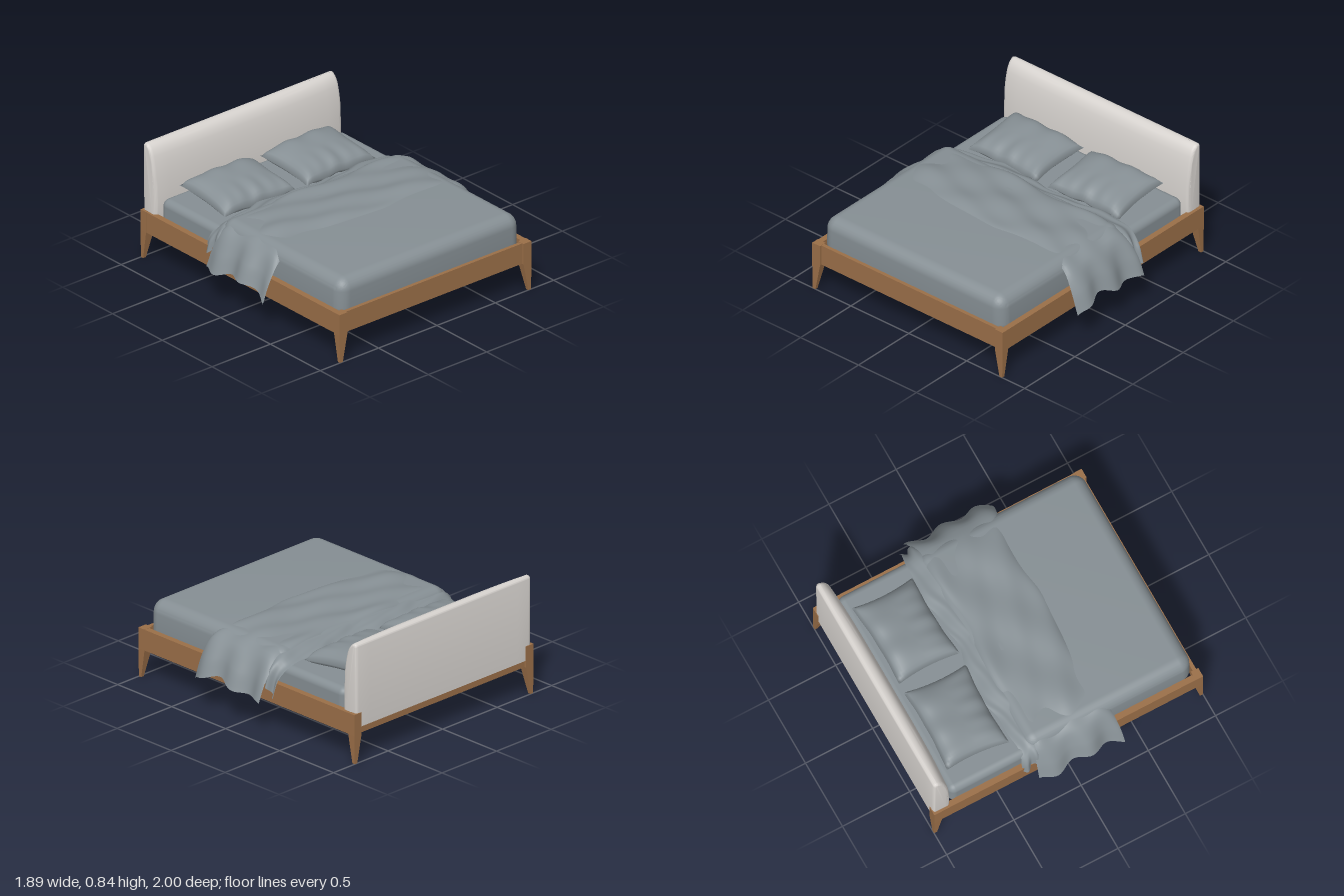
import * as THREE from 'three';
import { toCreasedNormals } from 'three/addons/utils/BufferGeometryUtils.js';
import { RoundedBoxGeometry } from 'three/addons/geometries/RoundedBoxGeometry.js';
import { ParametricGeometry } from 'three/addons/geometries/ParametricGeometry.js';

const wood = new THREE.MeshStandardMaterial({ color: 0x9b6f48 });
wood.name = 'warm wood';
const linen = new THREE.MeshStandardMaterial({ color: 0x868f94, side: THREE.DoubleSide });
linen.name = 'grey linen';
const upholstery = new THREE.MeshStandardMaterial({ color: 0xd6d2ce });
upholstery.name = 'pale upholstery';

const CX = -0.012; // centre line of the frame

function add(parent, name, geometry, material, x = 0, y = 0, z = 0) {
  const mesh = new THREE.Mesh(geometry, material);
  mesh.name = name;
  mesh.position.set(x, y, z);
  parent.add(mesh);
  return mesh;
}

// Move every vertex by a rule
function reshape(geometry, rule) {
  const p = geometry.attributes.position;
  const v = new THREE.Vector3();
  for (let i = 0; i < p.count; i++) {
    v.fromBufferAttribute(p, i);
    rule(v);
    p.setXYZ(i, v.x, v.y, v.z);
  }
  geometry.computeVertexNormals();
  return geometry;
}

// Square post whose lower part tapers towards the outer corner
function legGeometry(sx, sz) {
  const w = 0.068, d = 0.056;
  const box = new THREE.BoxGeometry(w, 0.35, d, 1, 2, 1).toNonIndexed();
  return reshape(box, (v) => {
    if (v.y < -0.1) {
      if (v.x * sx < 0) v.x = sx * (w / 2 - 0.028);
      else v.x -= sx * 0.004;
      if (v.z * sz < 0) v.z = sz * (d / 2 - 0.022);
    } else if (v.y < 0.1) v.y = 0.025;
    v.y += 0.175;
  });
}

function buildFrame() {
  const frame = new THREE.Group();
  frame.name = 'bedFrame';
  for (const sx of [-1, 1]) {
    for (const sz of [-1, 1]) {
      add(frame, sz > 0 ? 'frontLeg' : 'backLeg', legGeometry(sx, sz), wood, CX + sx * 0.788, 0, sz * 0.972);
    }
    add(frame, 'sideRail', new THREE.BoxGeometry(0.042, 0.148, 1.92), wood, CX + sx * 0.799, 0.274, 0);
  }
  add(frame, 'frontRail', new THREE.BoxGeometry(1.54, 0.148, 0.026), wood, CX, 0.274, 0.972);
  add(frame, 'backRail', new THREE.BoxGeometry(1.54, 0.045, 0.03), wood, CX, 0.2225, -0.972);
  return frame;
}

// Padded headboard: side profile swept across the bed, front bowed slightly
function headboardGeometry() {
  const s = new THREE.Shape();
  s.moveTo(0.992, 0.25);
  s.lineTo(0.87, 0.25);
  s.bezierCurveTo(0.845, 0.35, 0.85, 0.62, 0.89, 0.76);
  s.quadraticCurveTo(0.915, 0.838, 0.965, 0.838);
  s.quadraticCurveTo(0.99, 0.838, 0.992, 0.815);
  s.closePath();
  const g = new THREE.ExtrudeGeometry(s, {
    depth: 1.56, steps: 16, curveSegments: 10,
    bevelThickness: 0.024, bevelSize: 0.016, bevelOffset: -0.013, bevelSegments: 4,
  });
  g.rotateY(Math.PI / 2); // sweep along +x, shape x becomes -z
  g.translate(-0.795, 0, 0);
  reshape(g, (v) => {
    const t = (v.x + 0.015) / 0.8;
    if (v.z > -0.96) v.z -= 0.02 * t ** 4;
    v.x += v.y > 0.6 ? 0 : -0.004 * Math.sign(t);
  });
  return toCreasedNormals(g, 0.7);
}

// Pillow: two domes meeting at a seam with drawn-in edges and pointed corners
function pillowHalf(side, phase) {
  return new ParametricGeometry((a, b, out) => {
    const v = a * 2 - 1, u = b * 2 - 1; // v runs head to foot, u across
    const puff = Math.pow((1 - u ** 4) * (1 - v ** 4), 0.55);
    const x = 0.305 * u * (1 - 0.07 * (1 - v * v));
    const z = 0.23 * v * (1 - 0.07 * (1 - u * u));
    const seam = 0.515 - 0.022 * v + 0.006 * Math.sin(9 * u + phase) * v;
    const crease = 0.007 * Math.sin(15 * u + phase) * Math.max(0, v) * puff;
    out.set(x, seam + side * puff * (side > 0 ? 0.092 - 0.012 * v : 0.05) + crease, z);
  }, 24, 28);
}

// Cloth laid across the bed: height from a cross profile, hems from two functions of x
function cloth(profile, zBack, zFront, height) {
  const curve = new THREE.CatmullRomCurve3(profile.map(([x, y]) => new THREE.Vector3(x, y, 0)), false, 'centripetal');
  const p = new THREE.Vector3();
  return new ParametricGeometry((a, b, out) => {
    curve.getPointAt(b, p);
    const z = THREE.MathUtils.lerp(zBack(p.x), zFront(p.x), a);
    const hang = THREE.MathUtils.smoothstep(Math.abs(p.x), 0.74, 0.92);
    const ripple = hang * 0.022 * Math.sin(a * 15 + Math.sign(p.x) * 1.3);
    out.set(p.x + ripple * Math.sign(p.x), p.y + height(a, p.x, z) - hang * 0.02 * Math.sin(a * 8), z);
  }, 36, 64);
}

function buildBedding() {
  const bedding = new THREE.Group();
  bedding.name = 'bedding';

  // Mattress and the thicker cover over its foot end
  add(bedding, 'mattress', new RoundedBoxGeometry(1.55, 0.21, 1.74, 5, 0.05), linen, CX, 0.365, 0.015);
  const cover = new RoundedBoxGeometry(1.555, 0.29, 1.23, 8, 0.085);
  reshape(cover, (v) => {
    if (v.y > 0) v.x *= 1 - 0.012 * (v.y / 0.145);
  });
  add(bedding, 'footCover', toCreasedNormals(cover, 0.9), linen, CX, 0.407, 0.342);

  // Folded top layer hanging over both sides
  const throwProfile = [[-0.925, 0.27], [-0.87, 0.4], [-0.79, 0.505], [-0.66, 0.553], [-0.3, 0.566],
    [0.3, 0.566], [0.66, 0.553], [0.79, 0.505], [0.87, 0.4], [0.925, 0.265]];
  const flare = (x) => THREE.MathUtils.smoothstep(Math.abs(x), 0.7, 0.94);
  add(bedding, 'foldedBlanket', cloth(
    throwProfile,
    (x) => -0.235 + 0.012 * Math.sin(7 * x) - 0.02 * flare(x),
    (x) => 0.325 + 0.012 * Math.sin(9 * x + 1) + 0.045 * flare(x),
    (a, x, z) => 0.011 * Math.sin(14 * z + 5 * x) * Math.sin(6 * x + 2)
      + 0.006 * Math.sin(26 * z - 9 * x)
      - 0.03 * Math.pow(Math.abs(2 * a - 1), 10),
  ), linen);

  // Turned-back sheet sloping down towards the pillows
  const sheetProfile = [[-0.84, 0.35], [-0.815, 0.45], [-0.75, 0.512], [-0.6, 0.53],
    [0.6, 0.53], [0.75, 0.512], [0.825, 0.45], [0.865, 0.33]];
  add(bedding, 'turnedSheet', cloth(
    sheetProfile,
    (x) => -0.345 + 0.022 * Math.sin(8 * x + 0.6) + 0.008 * Math.sin(23 * x),
    () => -0.16,
    (a, x) => -0.045 * Math.pow(1 - a, 2) + 0.012 * a
      + 0.007 * Math.sin(11 * a + 12 * x) * (1 - a * 0.5),
  ), linen);

  // Pair of pillows
  for (const [x, phase, turn] of [[-0.36, 0.4, -0.02], [0.325, 2.1, 0.03]]) {
    const pillow = new THREE.Group();
    pillow.name = 'pillow';
    pillow.position.set(x, 0, -0.575);
    pillow.rotation.y = turn;
    add(pillow, 'pillowTop', pillowHalf(1, phase), linen);
    add(pillow, 'pillowUnderside', pillowHalf(-1, phase), linen);
    bedding.add(pillow);
  }
  return bedding;
}

export function createModel() {
  const bed = new THREE.Group();
  bed.name = 'bed';
  bed.add(buildFrame());
  add(bed, 'headboard', headboardGeometry(), upholstery);
  bed.add(buildBedding());
  return bed;
}
